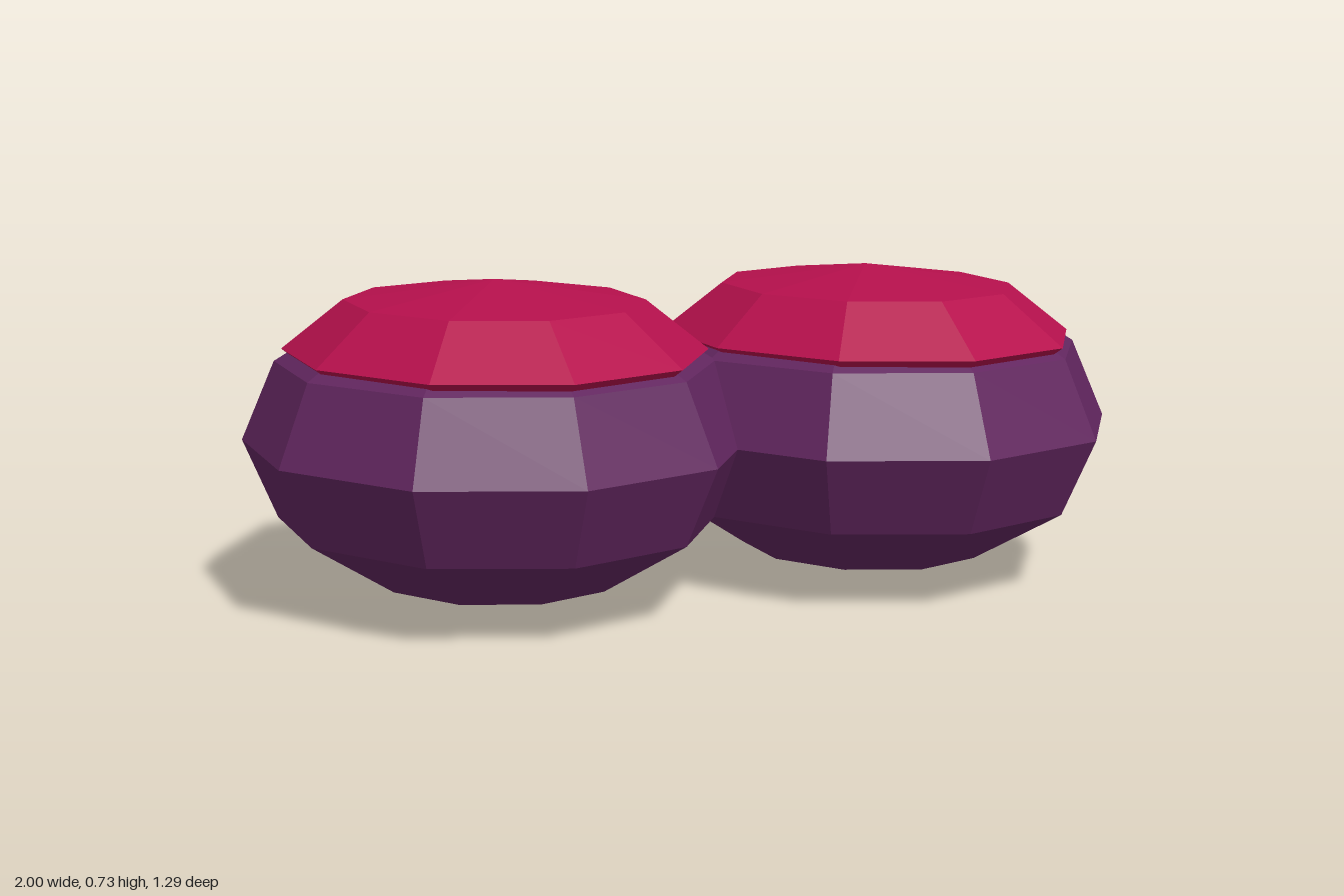
import * as THREE from 'three';

// Faceted ellipsoid with corners pointing along +z and -z
function facetedEllipsoid(rings, rx, ry, rz) {
  const geometry = new THREE.SphereGeometry(1, 10, rings, Math.PI / 2).scale(rx, ry, rz).toNonIndexed();
  geometry.computeVertexNormals();
  return geometry;
}

export function createModel() {
  const purple = new THREE.MeshStandardMaterial({ color: 0x62265f });
  purple.name = 'purple';
  const crimson = new THREE.MeshStandardMaterial({ color: 0xb5104c });
  crimson.name = 'crimson';

  const bodyGeometry = facetedEllipsoid(6, 0.568, 0.36, 0.645);
  const capGeometry = facetedEllipsoid(4, 0.473, 0.158, 0.567);

  const model = new THREE.Group();
  model.name = 'twinPods';

  // Two matching pods, each a body with a cap sunk into its top
  for (const [side, x] of [['left', 0.46], ['right', -0.46]]) {
    const pod = new THREE.Group();
    pod.name = `${side}Pod`;
    pod.position.x = x;

    const body = new THREE.Mesh(bodyGeometry, purple);
    body.name = `${side}Body`;
    body.position.y = 0.36;

    const cap = new THREE.Mesh(capGeometry, crimson);
    cap.name = `${side}Cap`;
    cap.position.y = 0.567;

    pod.add(body, cap);
    model.add(pod);
  }
  return model;
}
